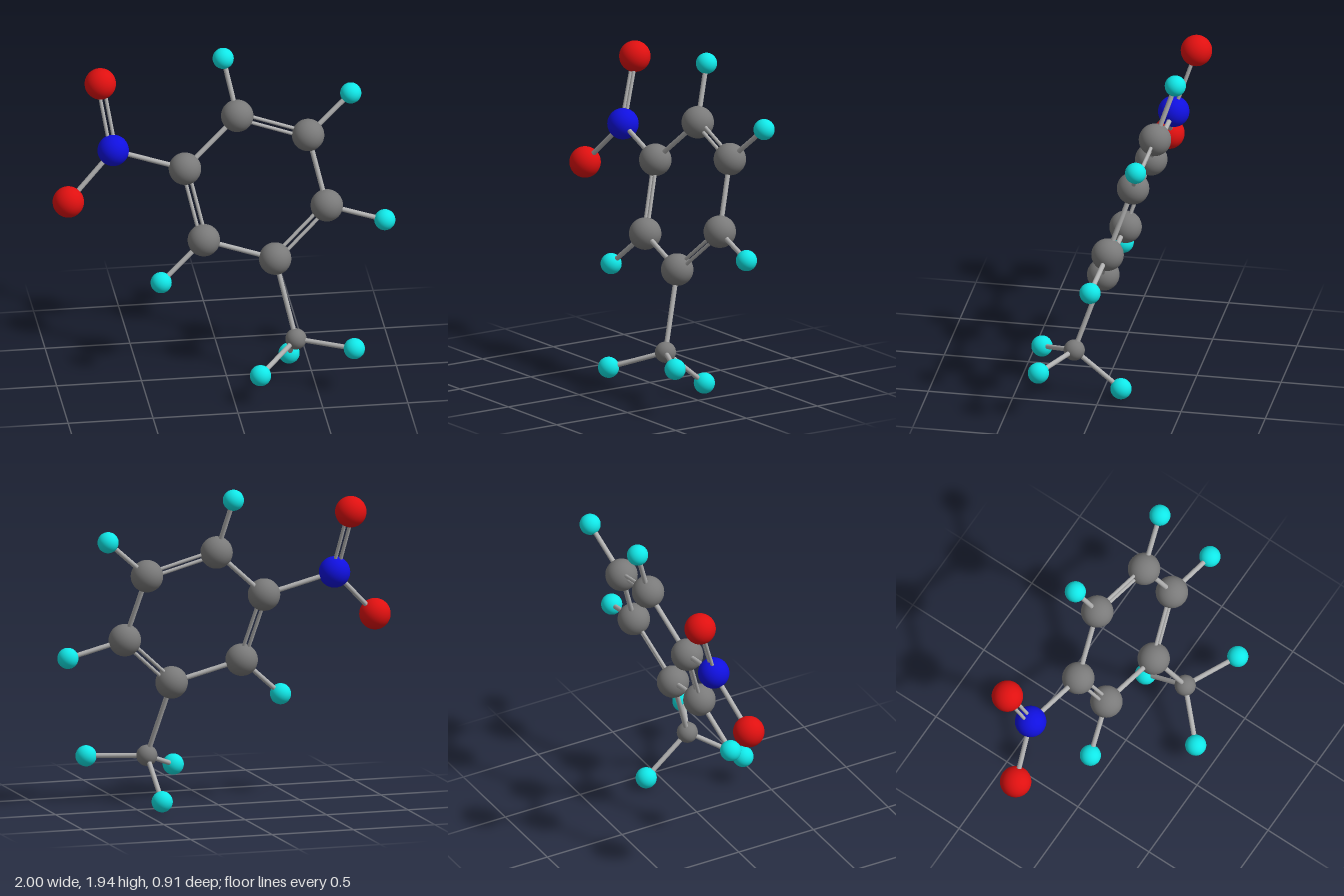
import * as THREE from 'three';

const material = (color) => new THREE.MeshStandardMaterial({ color });

// Atom kinds: radius and material
const KINDS = {
  carbon: { radius: 0.095, material: material(0x7a7a7a) },
  methylCarbon: { radius: 0.062, material: material(0x7a7a7a) },
  nitrogen: { radius: 0.092, material: material(0x1010e0) },
  oxygen: { radius: 0.092, material: material(0xe01010) },
  hydrogen: { radius: 0.062, material: material(0x10e8e8) },
};
const bondMaterial = material(0xb0b0b0);

// Atom name: [kind, x, y, z]
const ATOMS = {
  ring1: ['carbon', 0.10, 1.553, -0.27],
  ring2: ['carbon', 0.51, 1.427, -0.217],
  ring3: ['carbon', 0.602, 1.029, -0.083],
  ring4: ['carbon', 0.286, 0.745, 0.002],
  ring5: ['carbon', -0.126, 0.865, -0.053],
  ring6: ['carbon', -0.219, 1.27, -0.188],
  nitrogen: ['nitrogen', -0.634, 1.39, -0.243],
  upperOxygen: ['oxygen', -0.693, 1.766, -0.367],
  lowerOxygen: ['oxygen', -0.909, 1.112, -0.163],
  ringHydrogen1: ['hydrogen', 0.032, 1.878, -0.378],
  ringHydrogen2: ['hydrogen', 0.77, 1.652, -0.281],
  ringHydrogen3: ['hydrogen', 0.938, 0.933, -0.042],
  ringHydrogen5: ['hydrogen', -0.386, 0.637, 0.01],
  methylCarbon: ['methylCarbon', 0.388, 0.291, 0.155],
  methylHydrogenFront: ['hydrogen', 0.147, 0.183, 0.392],
  methylHydrogenSide: ['hydrogen', 0.711, 0.28, 0.307],
  methylHydrogenBack: ['hydrogen', 0.385, 0.064, -0.122],
};

const SINGLE_BONDS = [
  ['ring2', 'ring3'], ['ring4', 'ring5'], ['ring6', 'ring1'],
  ['ring6', 'nitrogen'], ['nitrogen', 'lowerOxygen'], ['ring4', 'methylCarbon'],
  ['ring1', 'ringHydrogen1'], ['ring2', 'ringHydrogen2'],
  ['ring3', 'ringHydrogen3'], ['ring5', 'ringHydrogen5'],
  ['methylCarbon', 'methylHydrogenFront'], ['methylCarbon', 'methylHydrogenSide'],
  ['methylCarbon', 'methylHydrogenBack'],
];
const DOUBLE_BONDS = [
  ['ring1', 'ring2'], ['ring3', 'ring4'], ['ring5', 'ring6'], ['nitrogen', 'upperOxygen'],
];

const position = (name) => new THREE.Vector3(...ATOMS[name].slice(1));

// Cylinder running from one point to another
function rod(a, b, radius) {
  const direction = b.clone().sub(a);
  const mesh = new THREE.Mesh(
    new THREE.CylinderGeometry(radius, radius, direction.length(), 20), bondMaterial);
  mesh.position.copy(a).lerp(b, 0.5);
  mesh.quaternion.setFromUnitVectors(new THREE.Vector3(0, 1, 0), direction.normalize());
  return mesh;
}

export function createModel() {
  const model = new THREE.Group();
  model.name = 'molecule';

  // Atoms
  for (const [name, [kind]] of Object.entries(ATOMS)) {
    const { radius, material } = KINDS[kind];
    const atom = new THREE.Mesh(new THREE.SphereGeometry(radius, 40, 28), material);
    atom.name = `${name}Atom`;
    atom.position.copy(position(name));
    model.add(atom);
  }

  // Single bonds
  for (const [from, to] of SINGLE_BONDS) {
    const bond = rod(position(from), position(to), 0.0145);
    bond.name = `${from}To${to}Bond`;
    model.add(bond);
  }

  // Double bonds: two thin rods side by side in the plane of the ring
  const normal = new THREE.Vector3(-0.03, 0.31, 0.95).normalize();
  for (const [from, to] of DOUBLE_BONDS) {
    const a = position(from), b = position(to);
    const side = b.clone().sub(a).cross(normal).setLength(0.0165);
    const bond = new THREE.Group();
    bond.name = `${from}To${to}DoubleBond`;
    for (const s of [-1, 1]) {
      const strand = rod(a.clone().addScaledVector(side, s), b.clone().addScaledVector(side, s), 0.0105);
      strand.name = 'bondStrand';
      bond.add(strand);
    }
    model.add(bond);
  }
  return model;
}
